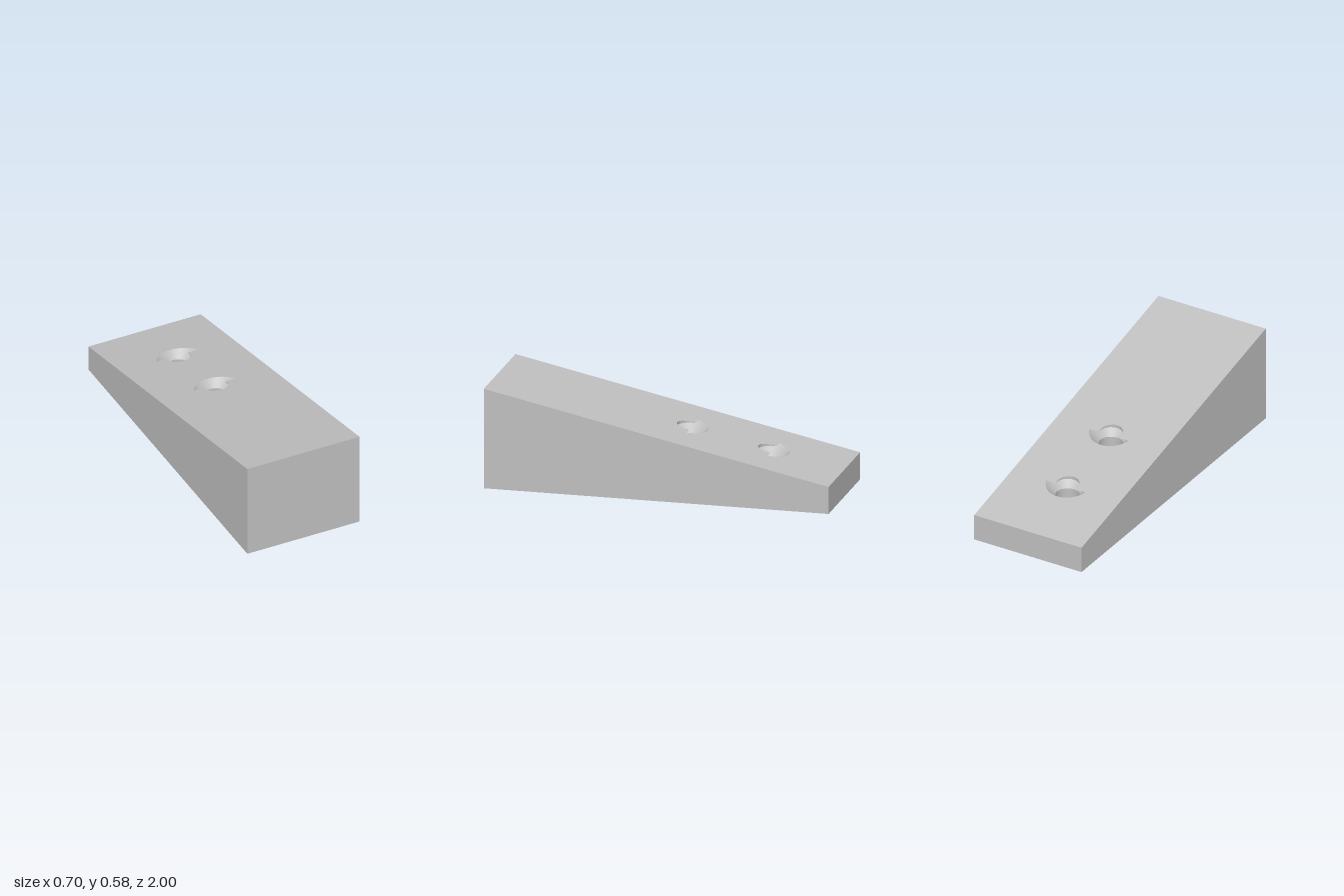
import * as THREE from 'three';

const W = 0.352, FRONT_H = 0.583, BACK_H = 0.158;   // wedge half width and end heights
const SLOPE = (FRONT_H - BACK_H) / 2, MID_H = (FRONT_H + BACK_H) / 2;
const BORE = 0.068, SINK = 0.13, CUT = -0.019;      // bore radius, sink radius, z where the sink ceiling meets the slope
const HOLES = [-0.57, -0.099];                      // z of the hole centres

const slopeY = (z) => MID_H + SLOPE * z;

// Evenly spaced angles from a to b
const angles = (a, b, n) => Array.from({ length: n + 1 }, (_, i) => a + ((b - a) * i) / n);

// Strip of quads between two equally long rows of points
function strip(a, b, flat = false) {
  const n = a.length, index = [];
  for (let i = 0; i < n - 1; i++) index.push(i, i + 1, n + i + 1, i, n + i + 1, n + i);
  let g = new THREE.BufferGeometry().setFromPoints([...a, ...b]);
  g.setIndex(index);
  if (flat) g = g.toNonIndexed();
  g.computeVertexNormals();
  return g;
}

// Rectangular face in plan with holes; outlines are lists of (x, z) points
function plate(outlines, side) {
  const flip = (p) => new THREE.Vector2(p.x, -side * p.y);
  const rect = [[-W, -1], [W, -1], [W, 1], [-W, 1]].map(([x, z]) => flip({ x, y: z }));
  const shape = new THREE.Shape(rect);
  shape.holes = outlines.map((o) => new THREE.Path(o.map(flip)));
  return new THREE.ShapeGeometry(shape).rotateX((-side * Math.PI) / 2);
}

export function createModel() {
  const group = new THREE.Group();
  const grey = new THREE.MeshStandardMaterial({ color: 0xbfbfbf });
  grey.name = 'grey';
  const add = (name, geometry, parent = group) => {
    const mesh = new THREE.Mesh(geometry, grey);
    mesh.name = name;
    parent.add(mesh);
  };

  const aOut = Math.asin(CUT / SINK), aIn = Math.asin(CUT / BORE);
  const frontOut = angles(aOut, Math.PI - aOut, 32);
  const frontIn = angles(aIn, Math.PI - aIn, 32);
  const backOut = angles(Math.PI - aOut, 2 * Math.PI + aOut, 32);
  const around = [...frontOut, ...backOut.slice(1)];

  // Radius at which the conical sink is cut off by the slope or by its ceiling
  const rim = (t) => Math.min(SINK, (SINK - SLOPE * CUT) / (1 - SLOPE * Math.sin(t)));

  const topOutlines = [], bottomOutlines = [];
  HOLES.forEach((zc, i) => {
    const ceiling = slopeY(zc + CUT);
    const ring = (ts, r, y) => ts.map((t) => {
      const d = typeof r === 'function' ? r(t) : r;
      const z = zc + d * Math.sin(t);
      return new THREE.Vector3(d * Math.cos(t), y(d, z), z);
    });
    const plan = (pts) => pts.map((p) => new THREE.Vector2(p.x, p.z));
    const coneY = (d) => ceiling - SINK + d;
    const hole = new THREE.Group();
    hole.name = `screwHole${i + 1}`;
    group.add(hole);

    const floor = ring(around, BORE, () => 0);
    const neck = ring(around, BORE, coneY);
    const coneRim = ring(around, rim, coneY);
    const innerEdge = ring(frontIn, BORE, () => ceiling);
    const mouth = ring(frontIn, BORE, (d, z) => slopeY(z));
    add('lowerBore', strip(floor, neck), hole);
    add('countersink', strip(neck, coneRim), hole);
    add('sinkCeiling', strip(ring(frontOut, SINK, () => ceiling), innerEdge), hole);
    add('upperBore', strip(innerEdge, mouth), hole);

    bottomOutlines.push(plan(floor.slice(0, -1)));
    topOutlines.push(plan([...ring(backOut, rim, coneY), ...mouth]));
  });

  // Sloped top face
  const top = plate(topOutlines, 1);
  const pos = top.attributes.position;
  for (let i = 0; i < pos.count; i++) pos.setY(i, slopeY(pos.getZ(i)));
  top.computeVertexNormals();
  add('slopedTop', top);
  add('base', plate(bottomOutlines, -1));

  // Four outer walls
  const corners = [[W, 1], [W, -1], [-W, -1], [-W, 1], [W, 1]];
  add('walls', strip(
    corners.map(([x, z]) => new THREE.Vector3(x, 0, z)),
    corners.map(([x, z]) => new THREE.Vector3(x, slopeY(z), z)), true));

  return group;
}
